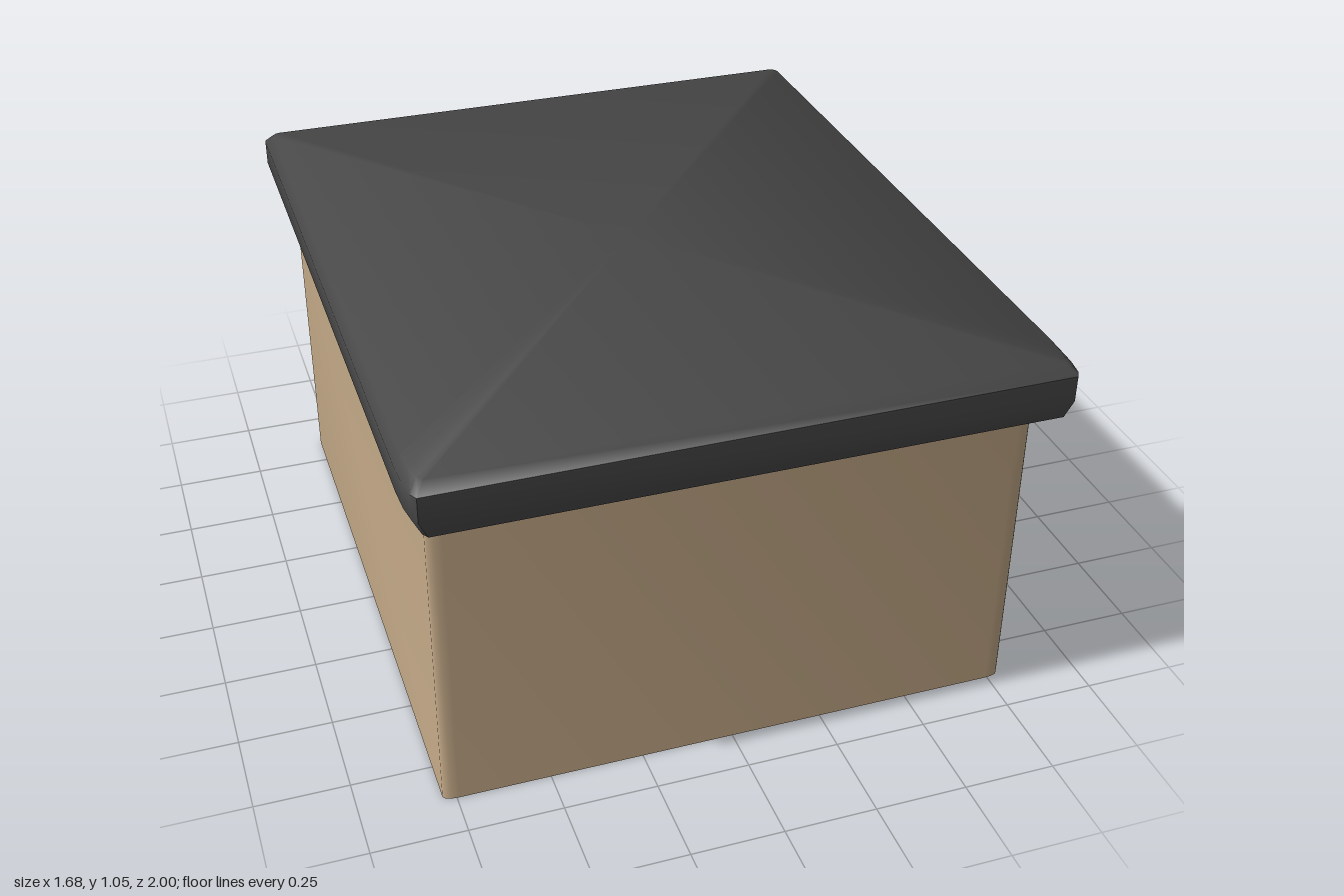
import * as THREE from 'three';
import { toCreasedNormals } from 'three/addons/utils/BufferGeometryUtils.js';

const SEG = 3; // segments per rounded corner

// Rounded rectangle cross-section at height y; front and back corners have their own radii
function ring({ y, w, back, front, fc, bc }) {
  const corners = [
    [w, back, bc, 1, -1], [-w, back, bc, -1, -1],
    [-w, front, fc, -1, 1], [w, front, fc, 1, 1],
  ];
  const pts = [];
  corners.forEach(([x, z, [rx, rz], sx, sz], k) => {
    for (let i = 0; i <= SEG; i++) {
      const a = (k + i / SEG) * Math.PI / 2;
      pts.push([x - sx * rx + Math.cos(a) * rx, y, z - sz * rz - Math.sin(a) * rz]);
    }
  });
  return pts;
}

// Skin a stack of cross-sections, optionally closing the top
function loft(sections, capTop, crease) {
  const rings = sections.map(ring);
  const n = rings[0].length;
  const pos = rings.flat(2);
  const idx = [];
  for (let r = 0; r < rings.length - 1; r++) {
    for (let i = 0; i < n; i++) {
      const a = r * n + i, b = r * n + (i + 1) % n;
      idx.push(a, b, a + n, b, b + n, a + n);
    }
  }
  if (capTop) {
    const base = (rings.length - 1) * n;
    pos.push(0, sections[sections.length - 1].y, 0);
    for (let i = 0; i < n; i++) idx.push(rings.length * n, base + i, base + (i + 1) % n);
  }
  const g = new THREE.BufferGeometry();
  g.setAttribute('position', new THREE.Float32BufferAttribute(pos, 3));
  g.setIndex(idx);
  return toCreasedNormals(g, crease);
}

export function createModel() {
  const group = new THREE.Group();
  const tan = new THREE.MeshStandardMaterial({ color: 0xc6ab89, side: THREE.DoubleSide });
  tan.name = 'tan';
  const charcoal = new THREE.MeshStandardMaterial({ color: 0x474747, side: THREE.DoubleSide });
  charcoal.name = 'charcoal';

  const add = (name, geometry, material) => {
    const mesh = new THREE.Mesh(geometry, material);
    mesh.name = name;
    group.add(mesh);
    return mesh;
  };

  // Walls: an open sleeve with softly rounded upright edges
  const wall = { w: 0.785, back: -0.87, front: 0.88, fc: [0.04, 0.015], bc: [0.04, 0.015] };
  add('walls', loft([{ ...wall, y: 0 }, { ...wall, y: 0.83 }], false, 1.2), tan);

  // Lid: hollow cap that flares out, then rolls over to a flat top
  const lid = [
    // y, half width, back, front, front corner depth
    [0.83, 0.785, -0.87, 0.88, 0.015],
    [0.865, 0.792, -0.88, 0.885, 0.02],
    [0.915, 0.82, -0.95, 0.995, 0.12],
    [0.96, 0.842, -1, 1, 0.14],
    [1.03, 0.842, -1, 1, 0.14],
    [1.055, 0.82, -0.975, 0.97, 0.12],
  ].map(([y, w, back, front, d]) => ({ y, w, back, front, fc: [0.022, d], bc: [0.022, 0.022] }));
  add('lid', loft(lid, true, 0.85), charcoal);

  // Painted marks on the left wall
  const outline = [
    [-0.147, 0.508], [-0.126, 0.52], [-0.1, 0.487], [-0.062, 0.449], [0.056, 0.465],
    [0.035, 0.53], [0.056, 0.541], [0.078, 0.508], [0.088, 0.47], [0.11, 0.46],
    [0.11, 0.422], [0.136, 0.33], [0.12, 0.315], [0.099, 0.336], [0.067, 0.433],
    [0.019, 0.433], [-0.035, 0.422], [-0.078, 0.422], [-0.115, 0.46],
  ].map(([u, v]) => new THREE.Vector2(u, v));
  const spot = new THREE.Shape().absellipse(-0.77, 0.44, 0.056, 0.039, 0, Math.PI * 2);
  const marks = { forkedMark: new THREE.Shape(outline), ovalSpot: spot };
  for (const [name, shape] of Object.entries(marks)) {
    const mark = add(name, new THREE.ShapeGeometry(shape, 12), charcoal);
    mark.rotation.y = Math.PI / 2;
    mark.position.x = 0.788;
  }
  return group;
}
